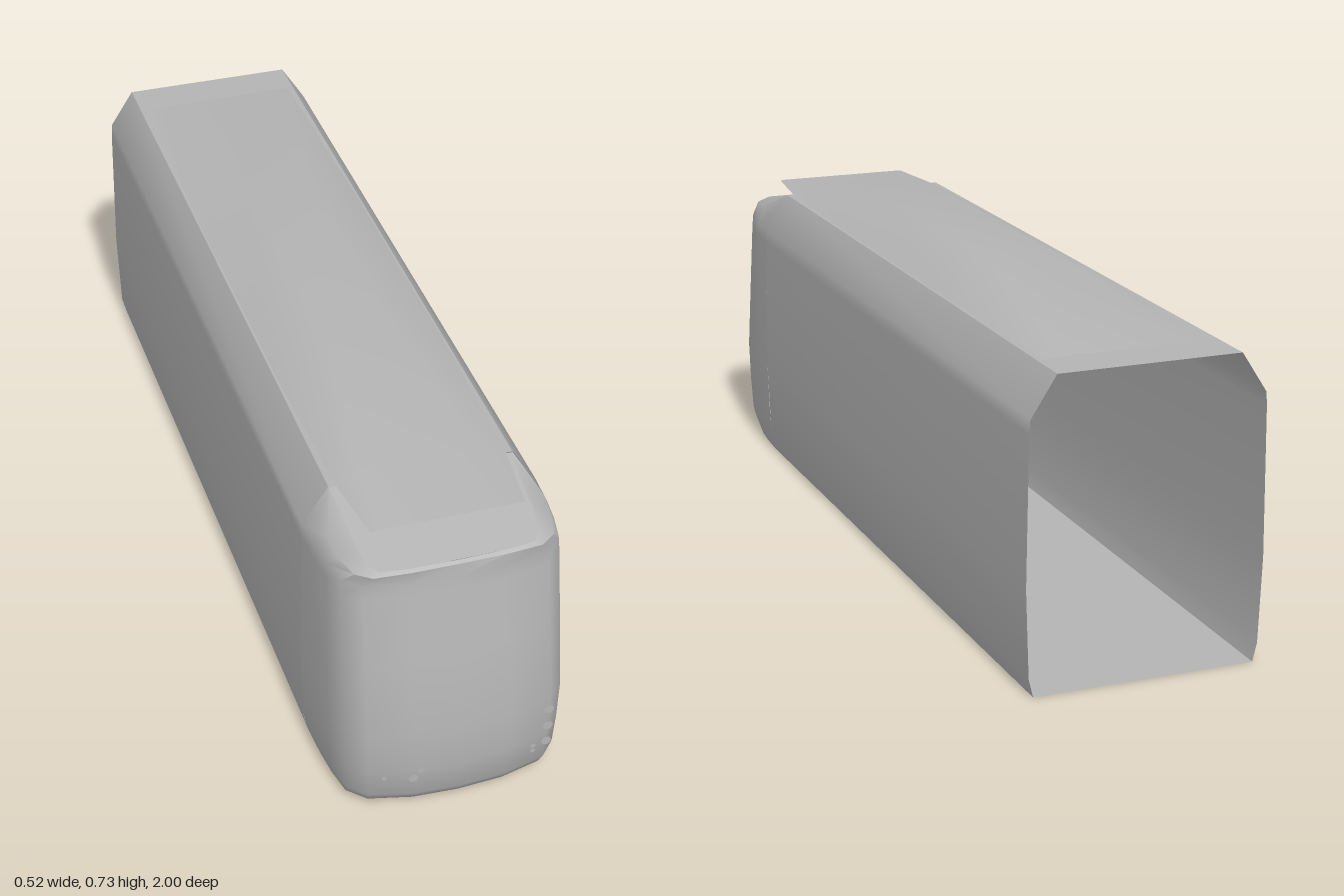
import * as THREE from 'three';
import { toCreasedNormals } from 'three/addons/utils/BufferGeometryUtils.js';

// Skin a list of equal-length cross-sections
function loft(rings, crease = 0.75) {
  const n = rings[0].length;
  const index = [];
  for (let r = 0; r < rings.length - 1; r++) {
    for (let i = 0; i < n - 1; i++) {
      const a = r * n + i, b = a + n;
      index.push(a, b, a + 1, a + 1, b, b + 1);
    }
  }
  const geometry = new THREE.BufferGeometry();
  geometry.setAttribute('position', new THREE.Float32BufferAttribute(rings.flat(2), 3));
  geometry.setIndex(index);
  return toCreasedNormals(geometry, crease);
}

// Complete a half section from +x to -x
function mirrored(half) {
  const other = half.filter((p) => p[0] > 0).reverse().map(([x, y, z]) => [-x, y, z]);
  return [...half, ...other];
}

const NOSE_BACK = 0.69;
// Plan of the nose: share of the half width, share of the length
const PLAN = [[1, 0], [0.985, 0.3], [0.96, 0.53], [0.91, 0.77], [0.77, 0.9], [0.4, 0.98], [0, 1]];
// Nose levels: height, half width, front z
const LEVELS = [
  [0, 0.245, 0.95], [0.02, 0.25, 0.975], [0.045, 0.255, 0.99], [0.12, 0.259, 0.997],
  [0.22, 0.262, 1], [0.4, 0.26, 0.968], [0.55, 0.258, 0.941], [0.58, 0.256, 0.936],
];

function noseLevel([y, w, front]) {
  return PLAN.map(([u, v]) => [u * w, y, NOSE_BACK + v * (front - NOSE_BACK)]);
}

// Front z of the nose at a point, for placing lamps
function noseDepth(x, y) {
  const k = Math.max(1, LEVELS.findIndex((l) => l[0] >= y));
  const [a, b] = [LEVELS[k - 1], LEVELS[k]];
  const t = (y - a[0]) / (b[0] - a[0]);
  const ring = noseLevel(a.map((v, i) => v + (b[i] - v) * t));
  const j = ring.findIndex((p) => p[0] <= Math.abs(x));
  const [p, q] = [ring[j - 1], ring[j]];
  const s = (Math.abs(x) - p[0]) / (q[0] - p[0]);
  return p[2] + (q[2] - p[2]) * s;
}

export function createModel() {
  const model = new THREE.Group();
  const grey = new THREE.MeshStandardMaterial({ color: 0xb4b4b4, side: THREE.DoubleSide });
  grey.name = 'body grey';
  const add = (name, geometry, parent = model) => {
    const mesh = new THREE.Mesh(geometry, grey);
    mesh.name = name;
    parent.add(mesh);
    return mesh;
  };

  // Long carriage shell, open at the back
  const section = mirrored([
    [0.245, 0], [0.255, 0.04], [0.262, 0.23], [0.258, 0.55], [0.256, 0.58], [0.2, 0.667],
  ]);
  section.push(section[0]);
  add('carriageShell', loft([NOSE_BACK, -1].map((z) => section.map(([x, y]) => [x, y, z]))));

  // Raised roof fairing with a thin lip over the nose
  const roofStations = [
    [0.855, 0.165, 0.15, 0.669], [0.69, 0.185, 0.135, 0.684], [0.28, 0.195, 0.08, 0.73],
    [-0.34, 0.195, 0.08, 0.73], [-0.9, 0.185, 0.14, 0.669],
  ];
  add('roofFairing', loft(roofStations.map(([z, outer, inner, y]) =>
    mirrored([[outer, 0.668, z], [inner, y, z]]))));

  // Nose: walls, folded shoulders and sloping brow
  const nose = new THREE.Group();
  nose.name = 'nose';
  model.add(nose);
  const shoulder = [
    [0.2, 0.665, 0.69], [0.232, 0.622, 0.79], [0.228, 0.611, 0.85], [0.212, 0.607, 0.9],
    [0.18, 0.608, 0.925], [0.1, 0.608, 0.931], [0, 0.608, 0.932],
  ];
  const browX = [0.195, 0.192, 0.19, 0.185, 0.165, 0.095, 0];
  const brow = shoulder.map(([, , z], i) => {
    const bz = z - 0.008 * Math.min(i, 1);
    return [browX[i], 0.611 + (0.93 - bz) * 0.225, bz];
  });
  const levels = LEVELS.map(noseLevel);
  add('noseShell', loft([...levels, shoulder, brow].map(mirrored), 0.9), nose);
  const across = (ring) => ring.slice(0, -1).map(([x, y, z]) => [[x, y, z], [-x, y, z]]);
  add('noseRoof', loft(across(brow).reverse()), nose);
  add('noseFloor', loft(across(levels[0])), nose);

  // Small hexagonal lamps: x, y, radius
  const lamps = [
    [-0.107, 0.193, 0.011], [-0.107, 0.098, 0.011], [-0.092, 0.121, 0.009], [-0.166, 0.1, 0.006],
    [0.165, 0.1, 0.006], [0.165, 0.085, 0.006],
    [0.198, 0.193, 0.012], [0.198, 0.145, 0.012], [0.198, 0.098, 0.012],
  ];
  for (const [x, y, r] of lamps) {
    const lamp = add('lamp', new THREE.CircleGeometry(r, 6), nose);
    lamp.position.set(x, y, noseDepth(x, y) + 0.004);
  }

  return model;
}
